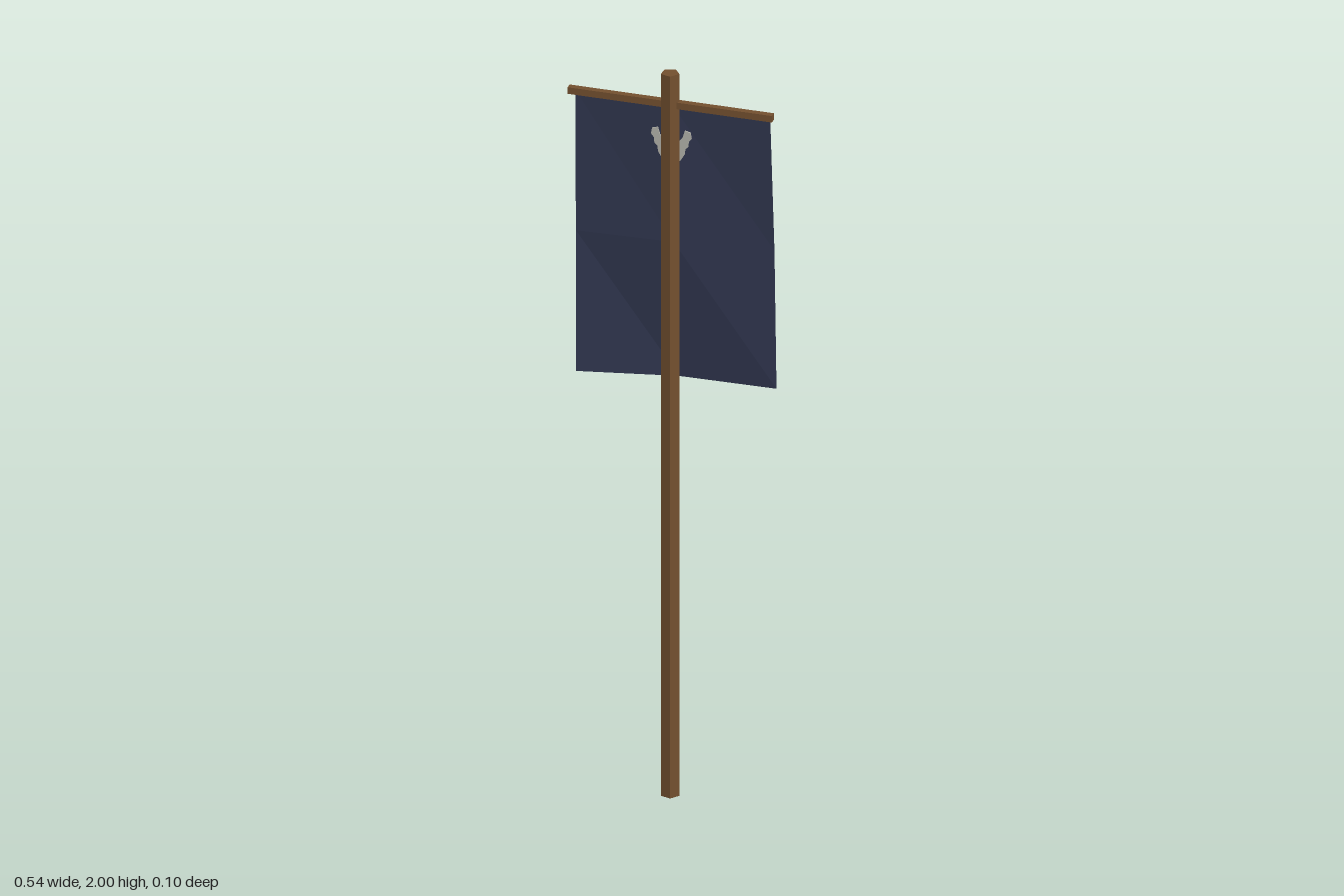
import * as THREE from 'three';

export function createModel() {
  const model = new THREE.Group();
  const material = (name, color, side = THREE.FrontSide) =>
    Object.assign(new THREE.MeshStandardMaterial({ color, side, flatShading: true }), { name });
  const wood = material('wood', 0x73502f);
  const cloth = material('navyCloth', 0x313750, THREE.DoubleSide);
  const silver = material('paleGrey', 0xb4b4ac);

  const add = (name, geometry, mat, x = 0, y = 0, z = 0) => {
    const mesh = new THREE.Mesh(geometry, mat);
    mesh.name = name;
    mesh.position.set(x, y, z);
    model.add(mesh);
    return mesh;
  };

  // Five-sided pole, one corner pointing to +x
  add('pole', new THREE.CylinderGeometry(0.0245, 0.0245, 2, 5).rotateY(Math.PI / 2), wood, -0.001, 1, 0.0245);

  // Crossbar
  add('crossbar', new THREE.BoxGeometry(0.544, 0.018, 0.018), wood, 0, 1.914, 0.0225);

  // Banner: 3 x 3 sheet, its lower part blown backwards
  const xs = [-0.257, 0, 0.257];
  const ys = [1.91, 1.52, 1.13];
  const depth = [
    [0.014, 0.016, 0.0],
    [0.010, -0.001, -0.034],
    [0.010, -0.045, -0.05],
  ];
  const points = [];
  const faces = [];
  for (let r = 0; r < 3; r++) {
    for (let c = 0; c < 3; c++) {
      points.push(xs[c], ys[r], depth[r][c]);
      if (r < 2 && c < 2) {
        const a = r * 3 + c;
        faces.push(a, a + 3, a + 4, a, a + 4, a + 1);
      }
    }
  }
  const sheet = new THREE.BufferGeometry();
  sheet.setAttribute('position', new THREE.Float32BufferAttribute(points, 3));
  sheet.setIndex(faces);
  const banner = sheet.toNonIndexed();
  banner.computeVertexNormals();
  add('banner', banner, cloth);

  // Emblem: a pair of feathered wings, on both faces of the banner
  const wing = [
    [0.008, 1.745], [0.024, 1.757], [0.035, 1.775], [0.037, 1.79], [0.045, 1.798],
    [0.046, 1.812], [0.054, 1.822], [0.051, 1.838], [0.036, 1.842], [0.03, 1.822], [0.012, 1.8],
  ];
  for (const side of [-1, 1]) {
    const outline = new THREE.Shape(wing.map(([x, y]) => new THREE.Vector2(side * x, y)));
    const plate = new THREE.ExtrudeGeometry(outline, { depth: 0.003, bevelEnabled: false });
    const label = side > 0 ? 'Left' : 'Right';
    add('frontWing' + label, plate, silver, 0, 0, 0.016);
    add('backWing' + label, plate, silver, 0, 0, side > 0 ? -0.003 : 0.003);
  }

  return model;
}
